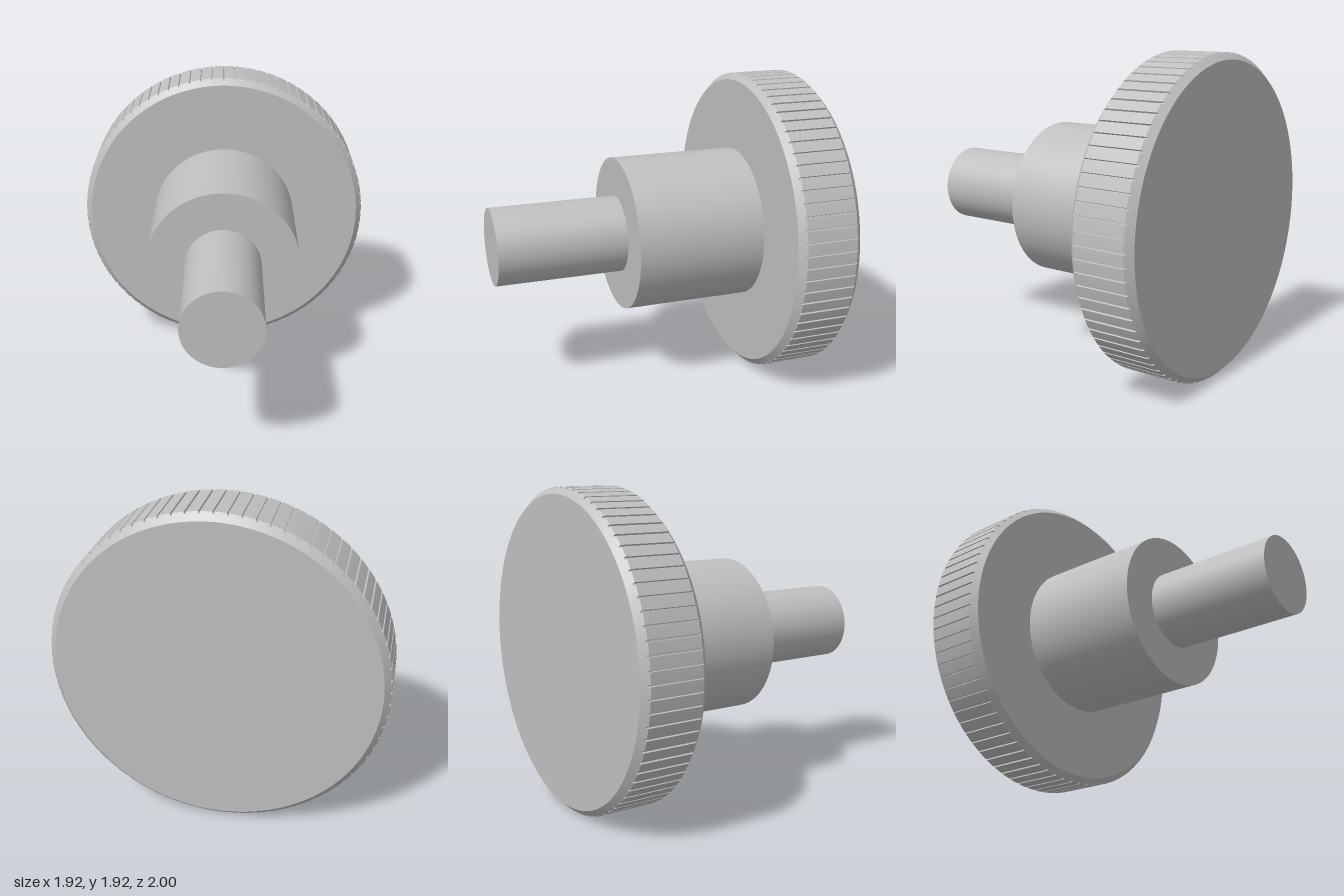
import * as THREE from 'three';
import { toCreasedNormals } from 'three/addons/utils/BufferGeometryUtils.js';

const AXIS_Y = 0.96; // height of the common axis
const GROOVES = 80;

// Chamfered disc along z with narrow lengthwise grooves round its rim
function knurledDisc() {
  const R = 0.96, depth = 0.01, w = 0.0065, step = (Math.PI * 2) / GROOVES;
  const profile = [[0, -0.6], [0.92, -0.6], [0.95, -0.63], [R, -0.64], [R, -0.96], [0.95, -0.97], [0.92, -1], [0, -1]];

  // One outline round the rim: angle and greatest radius at that angle
  const outline = [];
  for (let i = 0; i < GROOVES; i++) {
    const a = i * step;
    outline.push([a - w, R], [a - w * 0.7, R - depth], [a + w * 0.7, R - depth], [a + w, R], [a + step / 2, R]);
  }

  const n = outline.length, positions = [], index = [];
  for (const [r, z] of profile) {
    for (const [a, limit] of outline) {
      const rr = Math.min(r, limit);
      positions.push(rr * Math.cos(a), rr * Math.sin(a), z);
    }
  }
  const last = profile.length - 2;
  for (let k = 0; k <= last; k++) {
    for (let j = 0; j < n; j++) {
      const a = k * n + j, b = k * n + (j + 1) % n, c = a + n, d = b + n;
      if (k < last) index.push(a, c, d);
      if (k > 0) index.push(a, d, b);
    }
  }
  const geometry = new THREE.BufferGeometry();
  geometry.setAttribute('position', new THREE.Float32BufferAttribute(positions, 3));
  geometry.setIndex(index);
  return toCreasedNormals(geometry, 0.5);
}

// Solid cylinder along z between two depths
function rod(radius, z0, z1) {
  return new THREE.CylinderGeometry(radius, radius, z1 - z0, 96)
    .rotateX(Math.PI / 2)
    .translate(0, 0, (z0 + z1) / 2);
}

export function createModel() {
  const steel = new THREE.MeshStandardMaterial({ color: 0xbfbfbf });
  steel.name = 'grey steel';

  const group = new THREE.Group();
  group.name = 'knurledThumbScrew';
  const add = (name, geometry) => {
    const mesh = new THREE.Mesh(geometry, steel);
    mesh.name = name;
    mesh.position.y = AXIS_Y;
    group.add(mesh);
  };

  add('knurledHead', knurledDisc());
  add('collar', rod(0.48, -0.62, 0.2));
  add('shaft', rod(0.24, 0.18, 1));
  return group;
}
